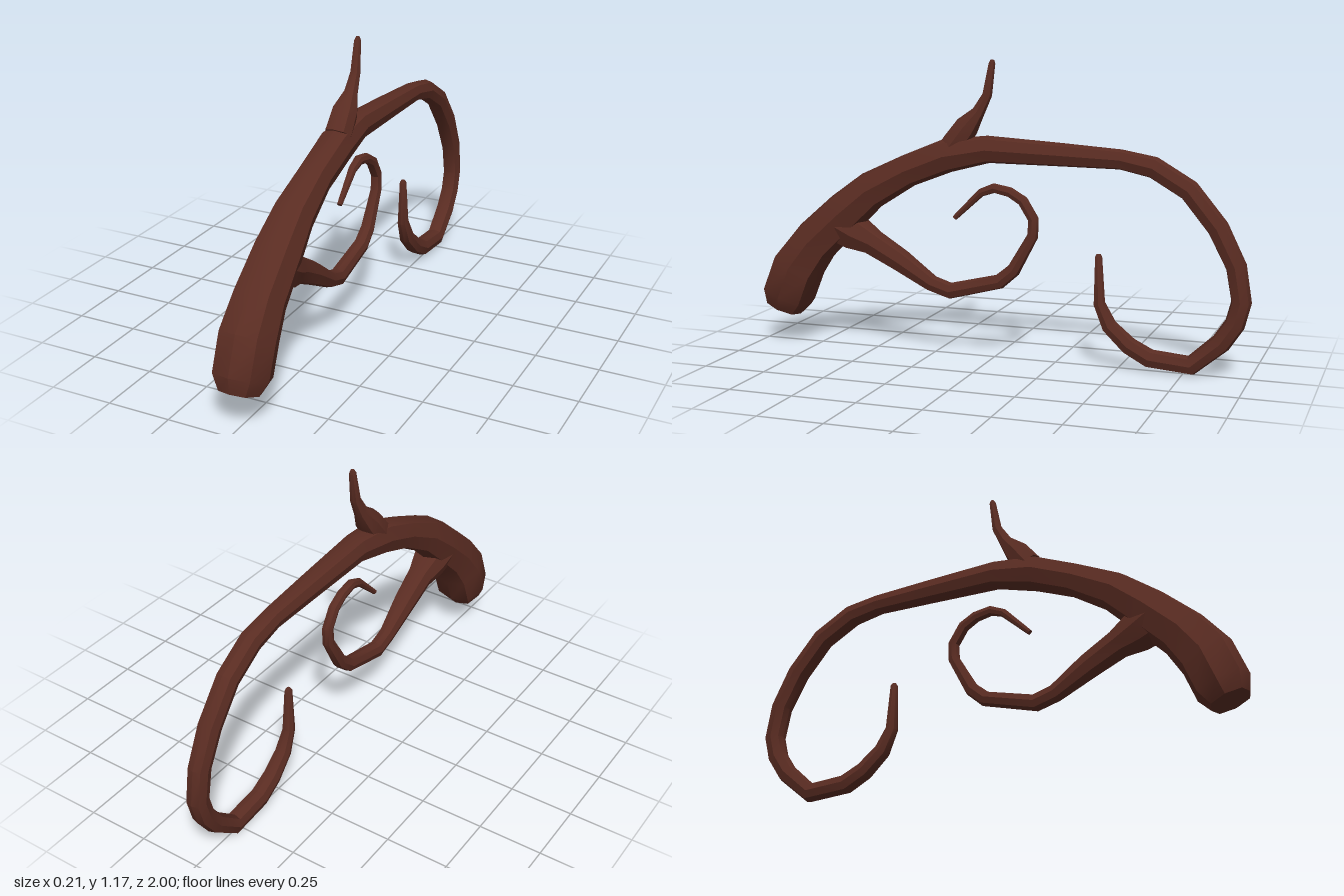
import * as THREE from 'three';
import { toCreasedNormals } from 'three/addons/utils/BufferGeometryUtils.js';

// Eight-sided cross-section: x sideways, y across the path
const SECTION = [[1, 0], [0.72, 0.8], [0, 1], [-0.72, 0.8], [-1, 0], [-0.72, -0.8], [0, -1], [0.72, -0.8]];

// Sweep the section along [z, y, radius] points lying in the x = 0 plane
function taperedLimb(path) {
  const n = SECTION.length, pos = [], index = [];
  const dir = (i) => new THREE.Vector2(path[i + 1][0] - path[i][0], path[i + 1][1] - path[i][1]).normalize();
  path.forEach(([z, y, r], i) => {
    const before = dir(Math.max(i - 1, 0));
    const after = dir(Math.min(i, path.length - 2));
    const t = before.add(after).normalize();
    // t.x runs along z, t.y along y; (y, z) = (t.x, -t.y) is square to the path
    for (const [a, b] of SECTION) pos.push(a * r, y + b * r * t.x, z - b * r * t.y);
  });
  const last = path.length - 1, c0 = path.length * n, c1 = c0 + 1;
  pos.push(0, path[0][1], path[0][0], 0, path[last][1], path[last][0]);
  for (let j = 0; j < n; j++) {
    const k = (j + 1) % n;
    for (let i = 0; i < last; i++) {
      const a = i * n + j, b = i * n + k;
      index.push(a, b, b + n, a, b + n, a + n);
    }
    index.push(c0, k, j, c1, last * n + j, last * n + k);
  }
  const g = new THREE.BufferGeometry();
  g.setAttribute('position', new THREE.Float32BufferAttribute(pos, 3));
  g.setIndex(index);
  return toCreasedNormals(g, 0.6);
}

export function createModel() {
  const group = new THREE.Group();
  group.name = 'curledBranch';
  const wood = new THREE.MeshStandardMaterial({ color: 0x5a2c22 });

  const limbs = {
    // thick stem with a chamfered butt, arching back into the big curl
    mainStem: [
      [0.92, 0.145, 0.075], [0.90, 0.20, 0.104], [0.85, 0.325, 0.105], [0.77, 0.43, 0.095],
      [0.64, 0.55, 0.088], [0.52, 0.65, 0.076], [0.36, 0.735, 0.064], [0.195, 0.80, 0.066],
      [0.025, 0.83, 0.053], [-0.26, 0.82, 0.045], [-0.50, 0.81, 0.038], [-0.625, 0.785, 0.041],
      [-0.76, 0.705, 0.041], [-0.87, 0.57, 0.041], [-0.94, 0.43, 0.039], [-0.962, 0.30, 0.038],
      [-0.94, 0.215, 0.038], [-0.89, 0.14, 0.038], [-0.78, 0.045, 0.037], [-0.62, 0.058, 0.036],
      [-0.54, 0.10, 0.034], [-0.463, 0.17, 0.03], [-0.423, 0.255, 0.023], [-0.418, 0.435, 0.014],
      [-0.418, 0.446, 0.008],
    ],
    // smaller curl growing from the underside
    lowerCurl: [
      [0.68, 0.52, 0.085], [0.59, 0.47, 0.072], [0.517, 0.437, 0.052], [0.40, 0.372, 0.045],
      [0.265, 0.287, 0.032], [0.185, 0.262, 0.032], [-0.02, 0.313, 0.029], [-0.078, 0.362, 0.027],
      [-0.155, 0.50, 0.022], [-0.158, 0.565, 0.021], [-0.115, 0.635, 0.021], [-0.062, 0.667, 0.02],
      [0.003, 0.68, 0.019], [0.056, 0.66, 0.016], [0.166, 0.555, 0.01],
    ],
    // short twig on top
    upperTwig: [
      [0.17, 0.84, 0.052], [0.115, 0.913, 0.048], [0.067, 0.972, 0.026], [0.03, 1.04, 0.019],
      [0.011, 1.16, 0.013], [0.009, 1.174, 0.007],
    ],
  };

  for (const [name, path] of Object.entries(limbs)) {
    const mesh = new THREE.Mesh(taperedLimb(path), wood);
    mesh.name = name;
    group.add(mesh);
  }
  return group;
}
